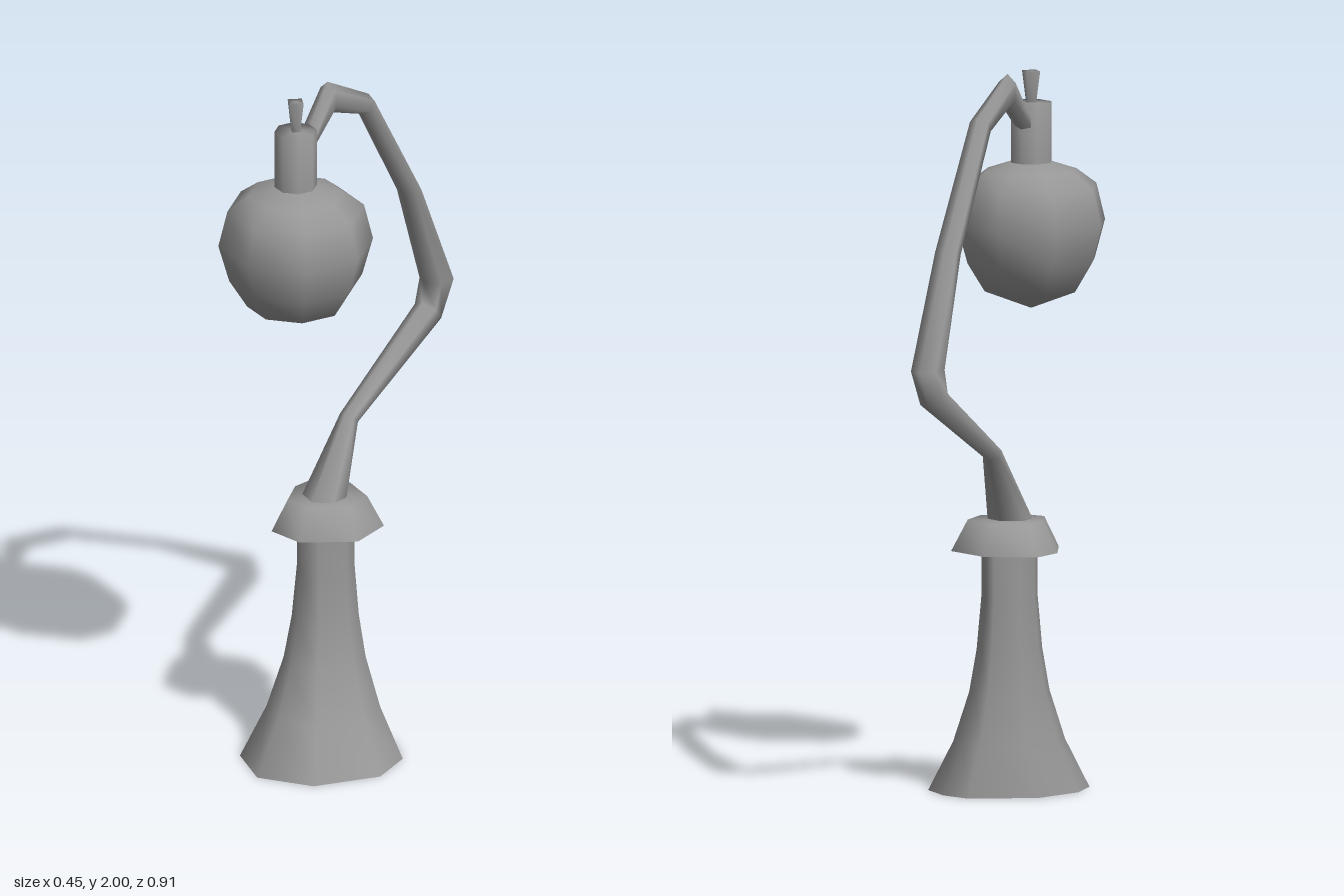
import * as THREE from 'three';

const material = new THREE.MeshStandardMaterial({ color: 0x979797, side: THREE.DoubleSide });
const CX = -0.015; // axis shared by the stacked parts

// Skin a list of closed rings, each an array of [x, y, z]
function loft(rings) {
  const n = rings[0].length;
  const index = [];
  for (let i = 0; i < rings.length - 1; i++) {
    for (let j = 0; j < n; j++) {
      const a = i * n + j, b = i * n + (j + 1) % n;
      index.push(a, b, a + n, b, b + n, a + n);
    }
  }
  const geometry = new THREE.BufferGeometry();
  geometry.setAttribute('position', new THREE.Float32BufferAttribute(rings.flat(2), 3));
  geometry.setIndex(index);
  geometry.computeVertexNormals();
  return geometry;
}

function lathe(profile, sides) {
  return new THREE.LatheGeometry(profile.map(([r, y]) => new THREE.Vector2(r, y)), sides);
}

export function createModel() {
  const group = new THREE.Group();
  const add = (name, geometry, x = 0, y = 0, z = 0) => {
    const mesh = new THREE.Mesh(geometry, material);
    mesh.name = name;
    mesh.position.set(x, y, z);
    group.add(mesh);
  };

  // Flared, lopsided foot: an uneven nine-sided rim blending into an oval stem
  const rim = [[0.12, 0.335], [0.225, 0.17], [0.2, 0.035], [0.115, -0.04],
    [0.03, -0.065], [-0.14, 0.03], [-0.19, 0.18], [-0.17, 0.29], [-0.04, 0.382]];
  const flare = [[0, 1], [0.14, 0.53], [0.28, 0.23], [0.4, 0.09], [0.55, 0], [0.72, 0]];
  add('base', loft(flare.map(([y, t]) => rim.map(([x, z]) => {
    const a = Math.atan2(x - 0.02, z - 0.16);
    const sx = CX - 0.003 + 0.074 * Math.sin(a), sz = 0.1 + 0.09 * Math.cos(a);
    return [sx + (x - sx) * t, y, sz + (z - sz) * t];
  }))));

  // Sloping collar with an uneven seven-sided outline, open below: [angle, radius]
  const outline = [[8, 0.151], [72, 0.152], [122, 0.159], [180, 0.149],
    [236, 0.162], [274, 0.146], [327, 0.161]];
  add('collar', loft([[1, 0.673], [0.71, 0.76], [0, 0.76]].map(([s, y]) =>
    outline.map(([deg, r]) => {
      const a = THREE.MathUtils.degToRad(deg);
      return [s * r * Math.sin(a), y, s * r * Math.cos(a)];
    }))), CX, 0, 0.1);

  // Bent arm: inner [z, y], outer [z, y], half width
  const sections = [
    [[0.185, 0.72], [0.07, 0.72], 0.058],
    [[0.164, 0.765], [0.05, 0.765], 0.054],
    [[0.016, 0.975], [-0.02, 0.937], 0.024],
    [[-0.335, 1.185], [-0.386, 1.12], 0.036],
    [[-0.344, 1.24], [-0.455, 1.235], 0.038],
    [[-0.25, 1.54], [-0.3, 1.555], 0.033],
    [[-0.058, 1.85], [-0.09, 1.9], 0.028],
    [[0.085, 1.905], [0.095, 2.0], 0.026],
    [[0.18, 1.835], [0.185, 1.885], 0.025],
    [[0.225, 1.8], [0.235, 1.845], 0.022],
  ];
  add('arm', loft(sections.map(([inner, outer, w]) => {
    const mz = (inner[0] + outer[0]) / 2, my = (inner[1] + outer[1]) / 2;
    return Array.from({ length: 6 }, (_, k) => {
      const a = k * Math.PI / 3, c = Math.cos(a);
      return [CX + w * Math.sin(a) / Math.sin(Math.PI / 3), my + c * (inner[1] - my), mz + c * (inner[0] - mz)];
    });
  })));

  // Hanging globe
  add('globe', lathe([[0, 1.33], [0.135, 1.382], [0.185, 1.462],
    [0.215, 1.568], [0.19, 1.67], [0.132, 1.713], [0.05, 1.74], [0, 1.74]], 8), CX, 0, 0.24);

  // Neck above the globe and its small four-sided finial
  add('neck', lathe([[0.059, 1.7], [0.059, 1.903], [0, 1.903]], 8), CX, 0, 0.24);
  add('finial', lathe([[0.014, 1.89], [0.028, 1.99], [0, 1.99]], 4), CX, 0, 0.24);

  return group;
}
